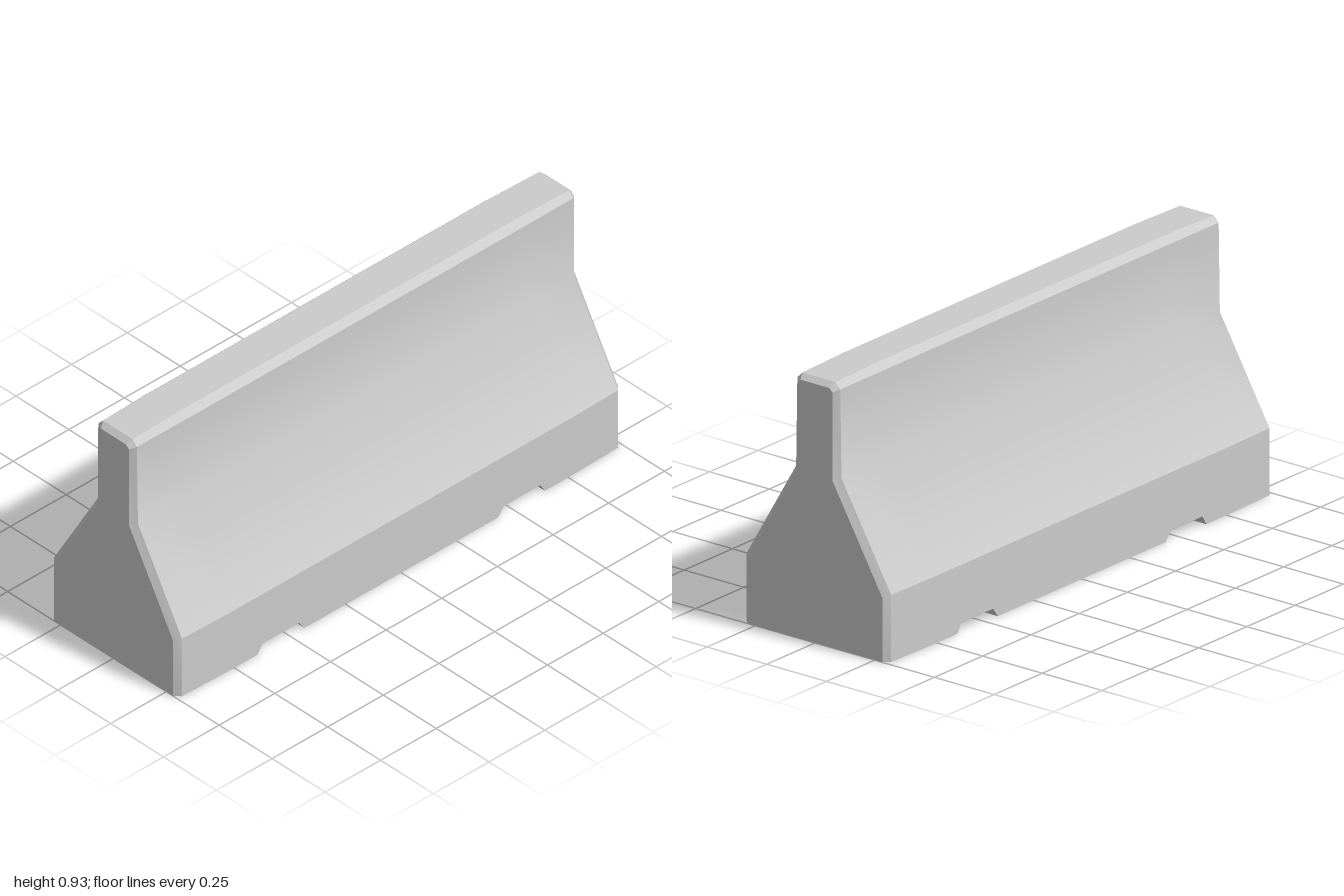
import * as THREE from 'three';
import { toCreasedNormals } from 'three/addons/utils/BufferGeometryUtils.js';

// Half profiles [x, y] from foot to crown
const END = [[0.282, 0], [0.282, 0.225], [0.073, 0.583], [0.073, 0.89], [0.06, 0.903]];
const EDGE = [[0.303, 0], [0.303, 0.234], [0.095, 0.59], [0.09, 0.899], [0.07, 0.92]];
const BODY = [[0.309, 0], [0.309, 0.235], [0.1, 0.591], [0.094, 0.902], [0.07, 0.926]];
const NOTCH = 0.033;

// Half of the stations along the length: [z, profile, foot height]
const HALF = [
  [0.435, BODY, 0], [0.46, BODY, NOTCH], [0.625, BODY, NOTCH], [0.645, BODY, 0],
  [0.76, BODY, 0], [0.98, EDGE, 0], [1, END, 0],
];

// Closed symmetric ring of points for one station
function ring([z, profile, foot]) {
  const right = profile.map(([x, y], i) => [x, i === 0 ? foot : y, z]);
  const left = right.map(([x, y]) => [-x, y, z]).reverse();
  return [...right, ...left];
}

function barrierGeometry() {
  const back = HALF.map(([z, p, f]) => [-z, p, f]).reverse();
  const rings = [...back, ...HALF].map(ring);
  const n = rings[0].length;
  const last = (rings.length - 1) * n;
  const index = [];
  const quad = (a, b, c, d) => index.push(a, b, c, a, c, d);

  // Skin between neighbouring stations, underside included
  for (let s = 0; s < rings.length - 1; s++) {
    for (let i = 0; i < n; i++) {
      const j = (i + 1) % n;
      quad(s * n + i, s * n + j, (s + 1) * n + j, (s + 1) * n + i);
    }
  }
  // End faces, strips between mirrored points
  for (let i = 0; i < n / 2 - 1; i++) {
    const m = n - 1 - i;
    quad(last + i, last + i + 1, last + m - 1, last + m);
    quad(m, m - 1, i + 1, i);
  }

  const geometry = new THREE.BufferGeometry();
  geometry.setAttribute('position', new THREE.Float32BufferAttribute(rings.flat(2), 3));
  geometry.setIndex(index);
  // Soft at the waist, crisp at the shoulder and chamfers
  return toCreasedNormals(geometry, THREE.MathUtils.degToRad(29.9));
}

export function createModel() {
  const group = new THREE.Group();
  group.name = 'roadBarrier';
  const concrete = new THREE.MeshStandardMaterial({ color: 0xcccccc });
  const body = new THREE.Mesh(barrierGeometry(), concrete);
  body.name = 'barrierBody';
  group.add(body);
  return group;
}
